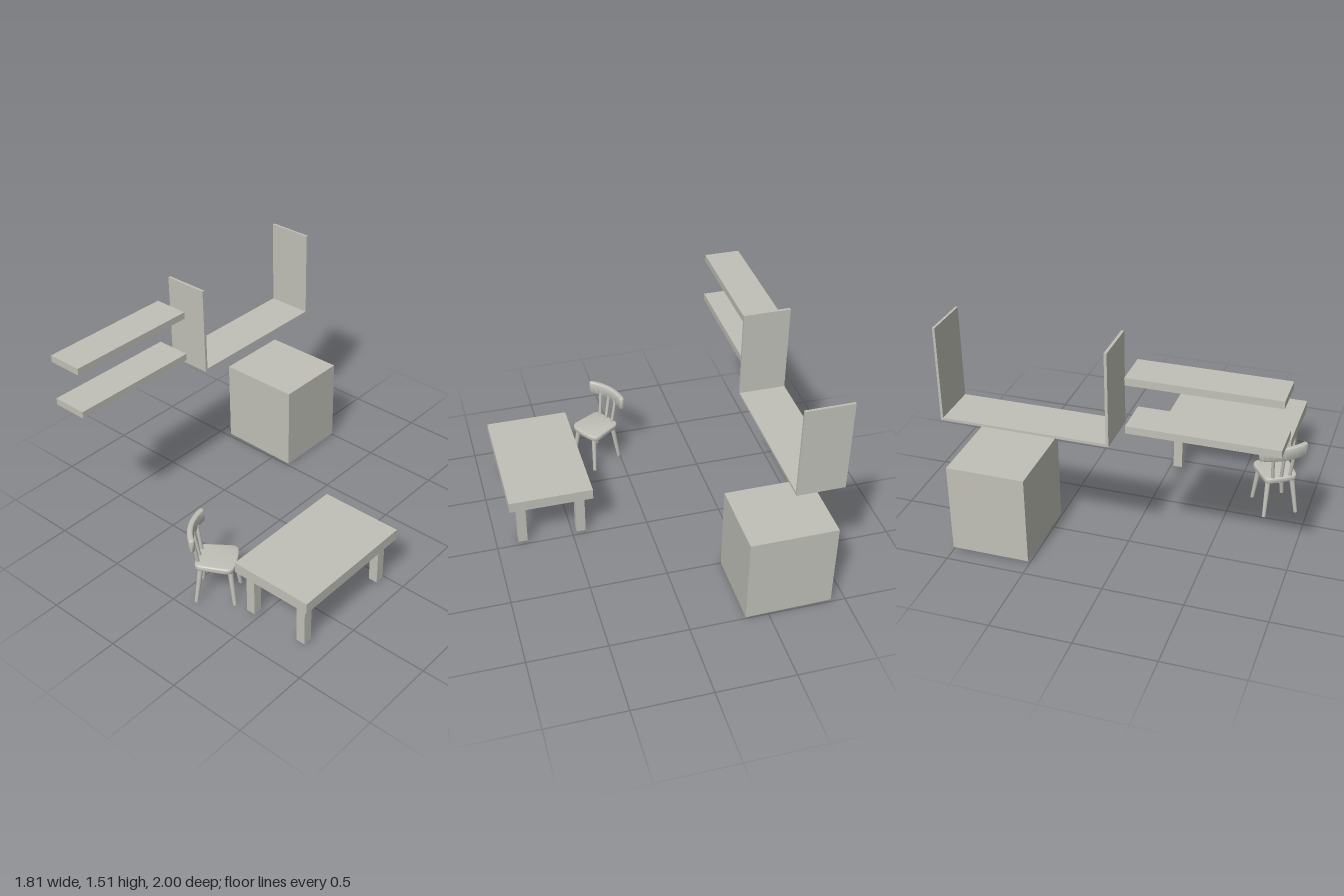
import * as THREE from 'three';
import { toCreasedNormals } from 'three/addons/utils/BufferGeometryUtils.js';

export function createModel() {
  const grey = new THREE.MeshStandardMaterial({ color: 0xc0c0b8 });
  grey.name = 'warm grey';
  const root = new THREE.Group();
  root.name = 'furnitureSet';

  const group = (name) => {
    const g = new THREE.Group();
    g.name = name;
    root.add(g);
    return g;
  };
  const add = (parent, name, geo) => {
    const m = new THREE.Mesh(geo, grey);
    m.name = name;
    parent.add(m);
    return m;
  };
  // Box given by its lower and upper bounds
  const box = (parent, name, x0, x1, y0, y1, z0, z1) => {
    const m = add(parent, name, new THREE.BoxGeometry(x1 - x0, y1 - y0, z1 - z0));
    m.position.set((x0 + x1) / 2, (y0 + y1) / 2, (z0 + z1) / 2);
    return m;
  };
  // Tapered round stick between two points
  const stick = (parent, name, a, b, r0, r1) => {
    const p = new THREE.Vector3(...a), q = new THREE.Vector3(...b);
    const d = q.clone().sub(p);
    const m = add(parent, name, new THREE.CylinderGeometry(r1, r0, d.length(), 20));
    m.position.copy(p).add(q).multiplyScalar(0.5);
    m.quaternion.setFromUnitVectors(new THREE.Vector3(0, 1, 0), d.normalize());
  };
  // Flat outline extruded upwards with rounded rims
  const slab = (parent, name, shape, y0, y1, bevel) => {
    const geo = new THREE.ExtrudeGeometry(shape, {
      depth: y1 - y0 - 2 * bevel, bevelEnabled: true, bevelThickness: bevel,
      bevelSize: bevel, bevelOffset: -bevel, bevelSegments: 4, curveSegments: 16,
    });
    geo.rotateX(-Math.PI / 2).translate(0, y0 + bevel, 0);
    add(parent, name, toCreasedNormals(geo, 0.7));
  };

  // Two wall shelves
  const shelves = group('wallShelves');
  for (const y of [1.03, 1.33]) box(shelves, 'shelf', -0.907, -0.675, y, y + 0.045, 0.124, 1);

  // Open wall unit: base board and two upright ends
  const unit = group('wallUnit');
  box(unit, 'baseBoard', -0.904, -0.607, 0.92, 0.936, -1, 0.025);
  box(unit, 'frontPanel', -0.904, -0.607, 0.936, 1.503, 0.008, 0.025);
  box(unit, 'backPanel', -0.904, -0.607, 0.936, 1.508, -1, -0.985);

  // Cabinet block with a slightly slanted underside
  const cabinet = box(root, 'cabinet', -0.904, -0.353, 0.012, 0.59, -1, -0.507);
  const pos = cabinet.geometry.attributes.position;
  for (let i = 0; i < pos.count; i++) {
    if (pos.getY(i) < 0) pos.setY(i, pos.getY(i) - Math.sign(pos.getX(i)) * 0.004);
  }

  // Table
  const table = group('table');
  box(table, 'tableTop', 0.363, 0.907, 0.311, 0.383, -0.03, 0.83);
  for (const x of [0.411, 0.798])
    for (const z of [0.022, 0.724])
      box(table, 'tableLeg', x, x + 0.06, 0.005, 0.311, z, z + 0.06);

  // Chair, turned towards the table; its own front is local +z
  const chair = group('chair');
  chair.position.set(0.166, 0, 0.771);
  chair.rotation.y = 2.138;

  // Seat: rounded, slightly wider at the front (shape y is local -z)
  const seat = new THREE.Shape();
  seat.moveTo(-0.075, 0.125);
  seat.quadraticCurveTo(0, 0.132, 0.075, 0.125);
  seat.quadraticCurveTo(0.105, 0.12, 0.109, 0.088);
  seat.lineTo(0.119, -0.06);
  seat.quadraticCurveTo(0.122, -0.108, 0.08, -0.118);
  seat.quadraticCurveTo(0, -0.132, -0.08, -0.118);
  seat.quadraticCurveTo(-0.122, -0.108, -0.119, -0.06);
  seat.lineTo(-0.109, 0.088);
  seat.quadraticCurveTo(-0.105, 0.12, -0.075, 0.125);
  slab(chair, 'seat', seat, 0.245, 0.283, 0.01);

  // Splayed legs and fanned back spindles
  for (const s of [-1, 1]) {
    stick(chair, 'frontLeg', [s * 0.103, 0, 0.118], [s * 0.074, 0.255, 0.088], 0.012, 0.017);
    stick(chair, 'backLeg', [s * 0.108, 0, -0.118], [s * 0.079, 0.255, -0.088], 0.012, 0.017);
  }
  for (const s of [-1, 0, 1])
    stick(chair, 'spindle', [s * 0.057, 0.27, -0.107], [s * 0.07, 0.45, s ? -0.132 : -0.142], 0.011, 0.011);

  // Curved back rest with rounded ends
  const R = 0.339, t = 0.018, half = 0.435, cy = -0.187;
  const a0 = Math.PI / 2 - half, a1 = Math.PI / 2 + half;
  const rest = new THREE.Shape();
  rest.absarc(0, cy, R + t, a0, a1, false);
  rest.absarc(R * Math.cos(a1), cy + R * Math.sin(a1), t, a1, a1 + Math.PI, false);
  rest.absarc(0, cy, R - t, a1, a0, true);
  rest.absarc(R * Math.cos(a0), cy + R * Math.sin(a0), t, a0 + Math.PI, a0 + 2 * Math.PI, false);
  slab(chair, 'backRest', rest, 0.428, 0.517, 0.012);

  return root;
}
